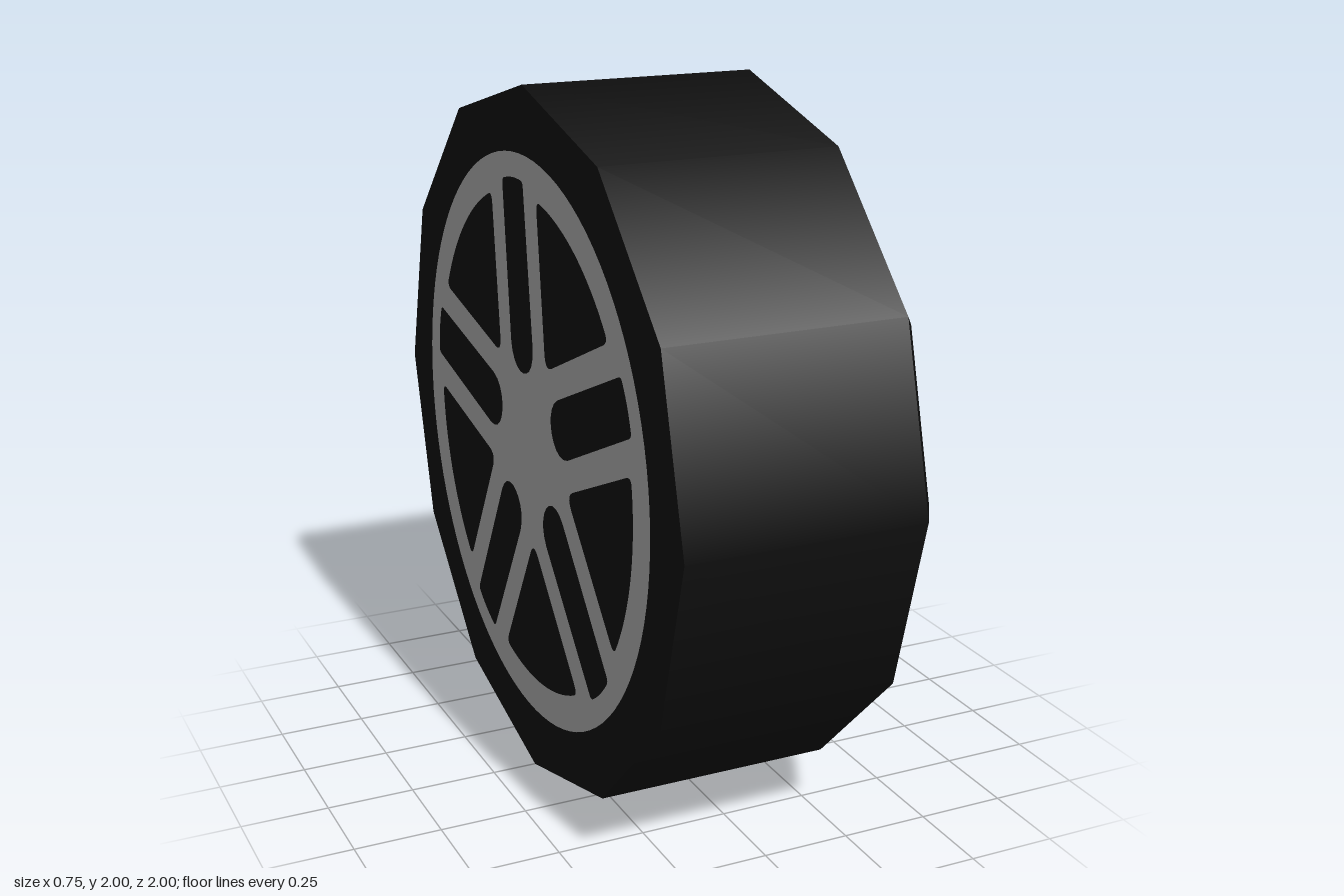
import * as THREE from 'three';

const HALF = 0.371;      // half the tyre width
const BEVEL_X = 0.308;   // where the chamfer starts
const FACE_R = 0.903;    // radius of the chamfered face
const SIDES = 12;
const RIM_R = 0.735;

// Turn a path around the hub and return it as a hole
function turned(path, angle) {
  const origin = new THREE.Vector2();
  return new THREE.Path(path.getPoints(10).map((p) => p.clone().rotateAround(origin, angle)));
}

// Long slot with a rounded inner end, between the two bars of a double spoke
function slotPath() {
  const p = new THREE.Path();
  p.moveTo(0.255, -0.074);
  p.lineTo(0.65, -0.07);
  p.quadraticCurveTo(0.667, -0.07, 0.668, -0.053);
  p.quadraticCurveTo(0.676, 0, 0.668, 0.053);
  p.quadraticCurveTo(0.667, 0.07, 0.65, 0.07);
  p.lineTo(0.255, 0.074);
  p.bezierCurveTo(0.155, 0.07, 0.155, -0.07, 0.255, -0.074);
  return p;
}

// Wedge opening between neighbouring double spokes
function wedgePath() {
  const apex = 0.2586, r = 0.643, half = Math.PI / 5;
  const side = (t, s) => [apex + t * Math.cos(half), s * t * Math.sin(half)];
  const edge = 0.355;
  const p = new THREE.Path();
  p.moveTo(...side(0.045, -1));
  p.lineTo(...side(0.385, -1));
  p.quadraticCurveTo(...side(0.415, -1), r * Math.cos(edge), -r * Math.sin(edge));
  p.absarc(0, 0, r, -edge, edge, false);
  p.quadraticCurveTo(...side(0.415, 1), ...side(0.385, 1));
  p.lineTo(...side(0.045, 1));
  p.quadraticCurveTo(apex, 0, ...side(0.045, -1));
  return p;
}

function rimGeometry() {
  const shape = new THREE.Shape();
  shape.absarc(0, 0, RIM_R, 0, Math.PI * 2, false);
  for (let i = 0; i < 5; i++) {
    const a = (i * Math.PI * 2) / 5;
    shape.holes.push(turned(slotPath(), a), turned(wedgePath(), a + Math.PI / 5));
  }
  return new THREE.ShapeGeometry(shape, 48);
}

export function createModel() {
  const rubber = new THREE.MeshStandardMaterial({ color: 0x0d0d0d });
  rubber.name = 'black rubber';
  const alloy = new THREE.MeshStandardMaterial({ color: 0xa0a0a0 });
  alloy.name = 'grey alloy';

  const wheel = new THREE.Group();
  wheel.name = 'wheel';
  const add = (name, geometry, material) => {
    const mesh = new THREE.Mesh(geometry, material);
    mesh.name = name;
    wheel.add(mesh);
  };

  // Twelve-sided tyre lying along x: straight tread, then a chamfer on the outer side
  const ring = (name, x0, x1, r0, r1) => {
    const g = new THREE.CylinderGeometry(r1, r0, x1 - x0, SIDES, 1, true);
    g.rotateZ(-Math.PI / 2).translate((x0 + x1) / 2, 0, 0);
    add(name, g, rubber);
  };
  ring('tread', -HALF, BEVEL_X, 1, 1);
  ring('outerChamfer', BEVEL_X, HALF, 1, FACE_R);

  // Flat walls and painted rims; the inner side is larger and turned half way round
  const sides = [
    { name: 'outer', dir: 1, radius: FACE_R, scale: 1, angle: 120 },
    { name: 'inner', dir: -1, radius: 1, scale: 1 / FACE_R, angle: 24 },
  ];
  for (const { name, dir, radius, scale, angle } of sides) {
    const wall = new THREE.CircleGeometry(radius, SIDES);
    wall.rotateY((dir * Math.PI) / 2).translate(dir * HALF, 0, 0);
    add(name + 'Sidewall', wall, rubber);

    const rim = rimGeometry();
    rim.rotateZ(THREE.MathUtils.degToRad(angle)).scale(scale, scale, 1);
    rim.rotateY((dir * Math.PI) / 2).translate(dir * (HALF + 0.003), 0, 0);
    add(name + 'Rim', rim, alloy);
  }

  wheel.position.y = 1;
  const model = new THREE.Group();
  model.name = 'wheelModel';
  model.add(wheel);
  return model;
}
